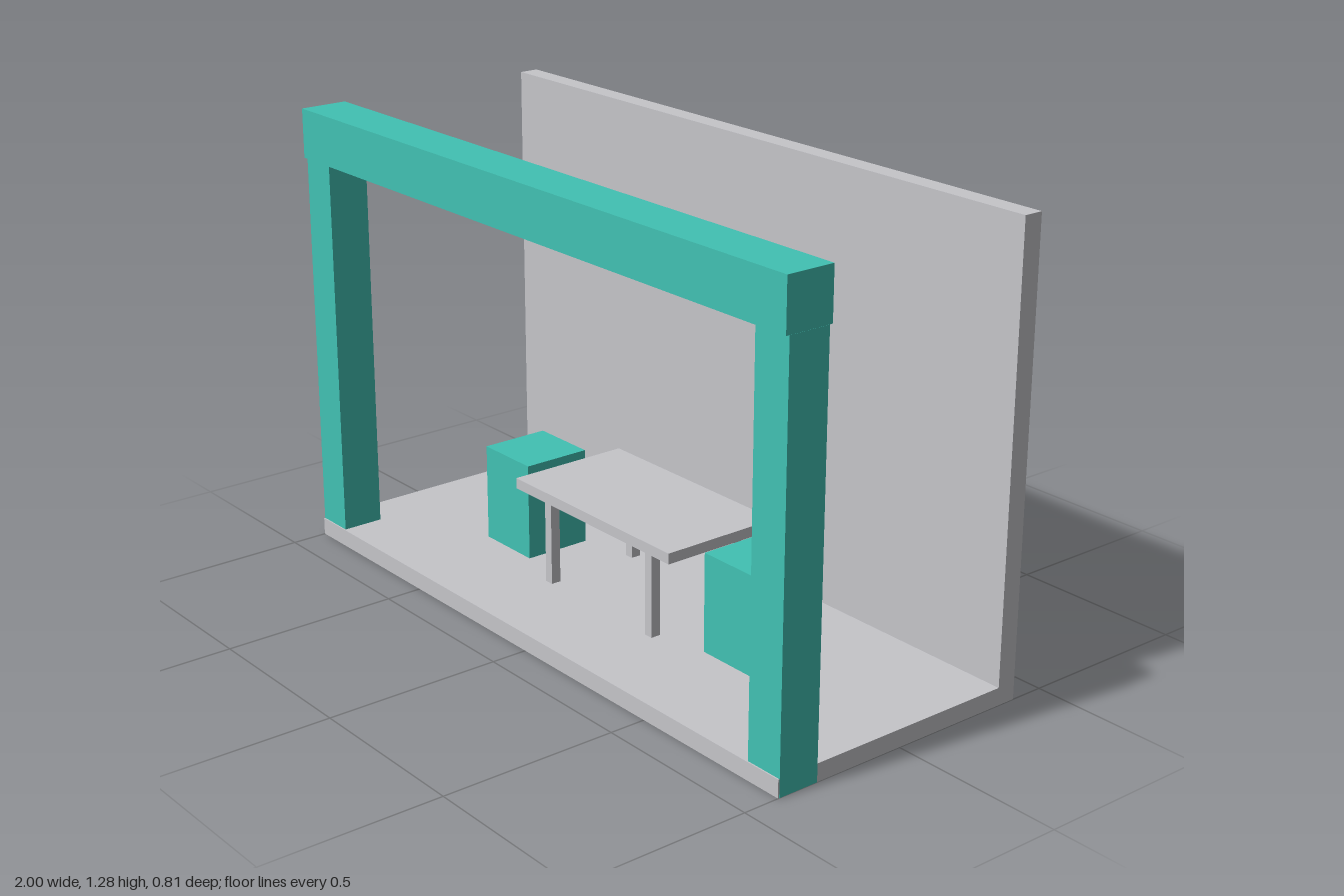
import * as THREE from 'three';

export function createModel() {
  const model = new THREE.Group();
  model.name = 'diningPavilion';

  const grey = new THREE.MeshStandardMaterial({ color: 0xc5c5c9 });
  grey.name = 'light grey';
  const teal = new THREE.MeshStandardMaterial({ color: 0x41c1b3 });
  teal.name = 'teal';

  // Box given by its extents along each axis
  function box(name, material, [x0, x1], [y0, y1], [z0, z1], parent = model) {
    const mesh = new THREE.Mesh(new THREE.BoxGeometry(x1 - x0, y1 - y0, z1 - z0), material);
    mesh.position.set((x0 + x1) / 2, (y0 + y1) / 2, (z0 + z1) / 2);
    mesh.name = name;
    parent.add(mesh);
    return mesh;
  }

  // Floor slab and back wall
  const floorTop = 0.05;
  box('floor', grey, [-1, 1], [0.0005, floorTop], [-0.403, 0.397]);
  box('backWall', grey, [-1, 1], [floorTop, 1.282], [-0.403, -0.347]);

  // Front frame: the posts run through the floor and carry the beam
  box('rightPost', teal, [-1.0005, -0.888], [0, 1.142], [0.273, 0.393]);
  box('leftPost', teal, [0.888, 1.0005], [0, 1.142], [0.273, 0.393]);
  box('frontBeam', teal, [-1, 1], [1.142, 1.282], [0.264, 0.403]);

  // Table with four square legs
  const table = new THREE.Group();
  table.name = 'table';
  table.position.set(-0.002, 0, -0.003);
  model.add(table);
  box('tableTop', grey, [-0.33, 0.33], [0.302, 0.332], [-0.18, 0.18], table);
  for (const sx of [-1, 1]) {
    for (const sz of [-1, 1]) {
      const x = sx * 0.218, z = sz * 0.141;
      box('tableLeg', grey, [x - 0.0135, x + 0.0135], [floorTop, 0.302],
        [z - 0.0145, z + 0.0145], table);
    }
  }

  // Block stools at both ends of the table
  box('rightStool', teal, [-0.585, -0.385], [floorTop, 0.33], [-0.102, 0.098]);
  box('leftStool', teal, [0.378, 0.578], [floorTop, 0.33], [-0.102, 0.098]);

  return model;
}
